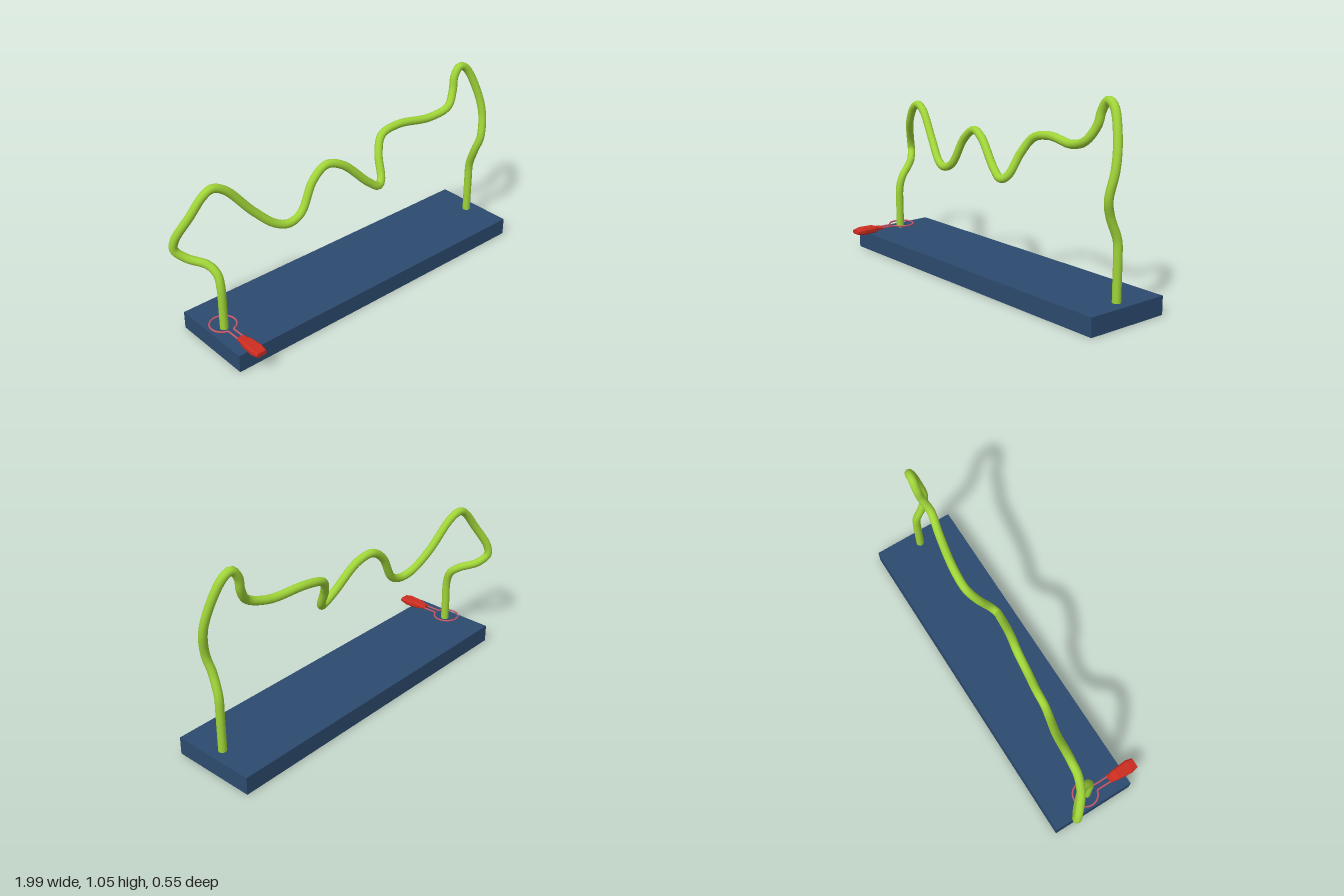
import * as THREE from 'three';

const mat = (name, color) => {
  const m = new THREE.MeshStandardMaterial({ color });
  m.name = name;
  return m;
};
const vec = (p) => new THREE.Vector3(...p);

// Smooth tube through a list of points
function tube(points, radius, segments, sides) {
  const curve = new THREE.CatmullRomCurve3(points.map(vec), false, 'centripetal');
  return new THREE.TubeGeometry(curve, segments, radius, sides);
}

// Faceted grip: chamfered box sections [z, halfWidth, halfHeight] along z
function gripGeometry(sections) {
  const n = sections.length - 1;
  const geo = new THREE.CylinderGeometry(1, 1, n, 8, n);
  geo.rotateY(Math.PI / 8);
  geo.rotateX(Math.PI / 2);
  const p = geo.attributes.position;
  const snap = (v, size, inner) =>
    Math.abs(v) < 0.01 ? 0 : Math.sign(v) * size * (Math.abs(v) > 0.5 ? 1 : inner);
  for (let i = 0; i < p.count; i++) {
    const [z, w, h] = sections[Math.round(p.getZ(i) + n / 2)];
    p.setXYZ(i, snap(p.getX(i), w, 0.72), snap(p.getY(i), h, 0.5), z);
  }
  const flat = geo.toNonIndexed();
  flat.computeVertexNormals();
  return flat;
}

export function createModel() {
  const model = new THREE.Group();
  const add = (name, geo, material, parent = model) => {
    const mesh = new THREE.Mesh(geo, material);
    mesh.name = name;
    parent.add(mesh);
    return mesh;
  };
  const blue = mat('navy base', 0x2c4a6e);
  const green = mat('lime tube', 0x9fd438);
  const red = mat('red grip', 0xcc2d20);
  const pink = mat('rose wire', 0xc4586a);

  // Base board
  add('base', new THREE.BoxGeometry(1.915, 0.097, 0.477), blue).position.set(0.0415, 0.0485, -0.0385);

  // Winding tube, from the right post to the left post
  const path = [
    [-0.837, 0.06, -0.034], [-0.837, 0.2, -0.034], [-0.837, 0.34, -0.036],
    [-0.837, 0.405, -0.058], [-0.856, 0.445, -0.105], [-0.925, 0.476, -0.18],
    [-0.97, 0.525, -0.217], [-0.967, 0.58, -0.21], [-0.9, 0.71, -0.16],
    [-0.83, 0.805, -0.14], [-0.78, 0.828, -0.136], [-0.715, 0.8, -0.125],
    [-0.58, 0.645, -0.09], [-0.475, 0.55, -0.055], [-0.4, 0.53, -0.037],
    [-0.325, 0.562, -0.036], [-0.235, 0.71, -0.047], [-0.147, 0.77, -0.045],
    [-0.056, 0.743, -0.024], [0.088, 0.606, 0.012], [0.155, 0.563, 0.021],
    [0.19, 0.585, 0.002], [0.222, 0.7, -0.055], [0.275, 0.78, -0.09],
    [0.393, 0.807, -0.088], [0.596, 0.797, -0.05], [0.714, 0.834, -0.026],
    [0.767, 0.91, -0.045], [0.785, 0.984, -0.055], [0.823, 1.032, -0.054],
    [0.868, 1.012, -0.047], [0.93, 0.87, -0.01], [0.95, 0.738, 0.02],
    [0.93, 0.6, 0.038], [0.918, 0.515, 0.013], [0.926, 0.4, -0.03],
    [0.928, 0.32, -0.034], [0.928, 0.2, -0.034], [0.928, 0.06, -0.034],
  ];
  add('windingTube', tube(path, 0.0222, 260, 16), green);

  // Hand wand resting on the base
  const wand = new THREE.Group();
  wand.name = 'wand';
  wand.position.set(-0.837, 0.115, -0.043);
  model.add(wand);

  // Wire: stem, open ring, stem
  const wire = [[0.016, 0, 0.17], [0.016, 0, 0.12], [0.016, 0, 0.083]];
  const gap = 0.27;
  for (let i = 0; i <= 24; i++) {
    const a = gap + (i / 24) * (2 * Math.PI - 2 * gap);
    wire.push([Math.sin(a) * 0.069, 0, Math.cos(a) * 0.069]);
  }
  wire.push([-0.016, 0, 0.083], [-0.016, 0, 0.12], [-0.016, 0, 0.17]);
  add('wireRing', tube(wire, 0.005, 120, 8), pink, wand);

  // Grip
  const grip = gripGeometry([
    [0.15, 0.024, 0.009], [0.173, 0.025, 0.009], [0.2, 0.031, 0.018],
    [0.28, 0.037, 0.019], [0.32, 0.029, 0.012],
  ]);
  add('grip', grip, red, wand);

  return model;
}
